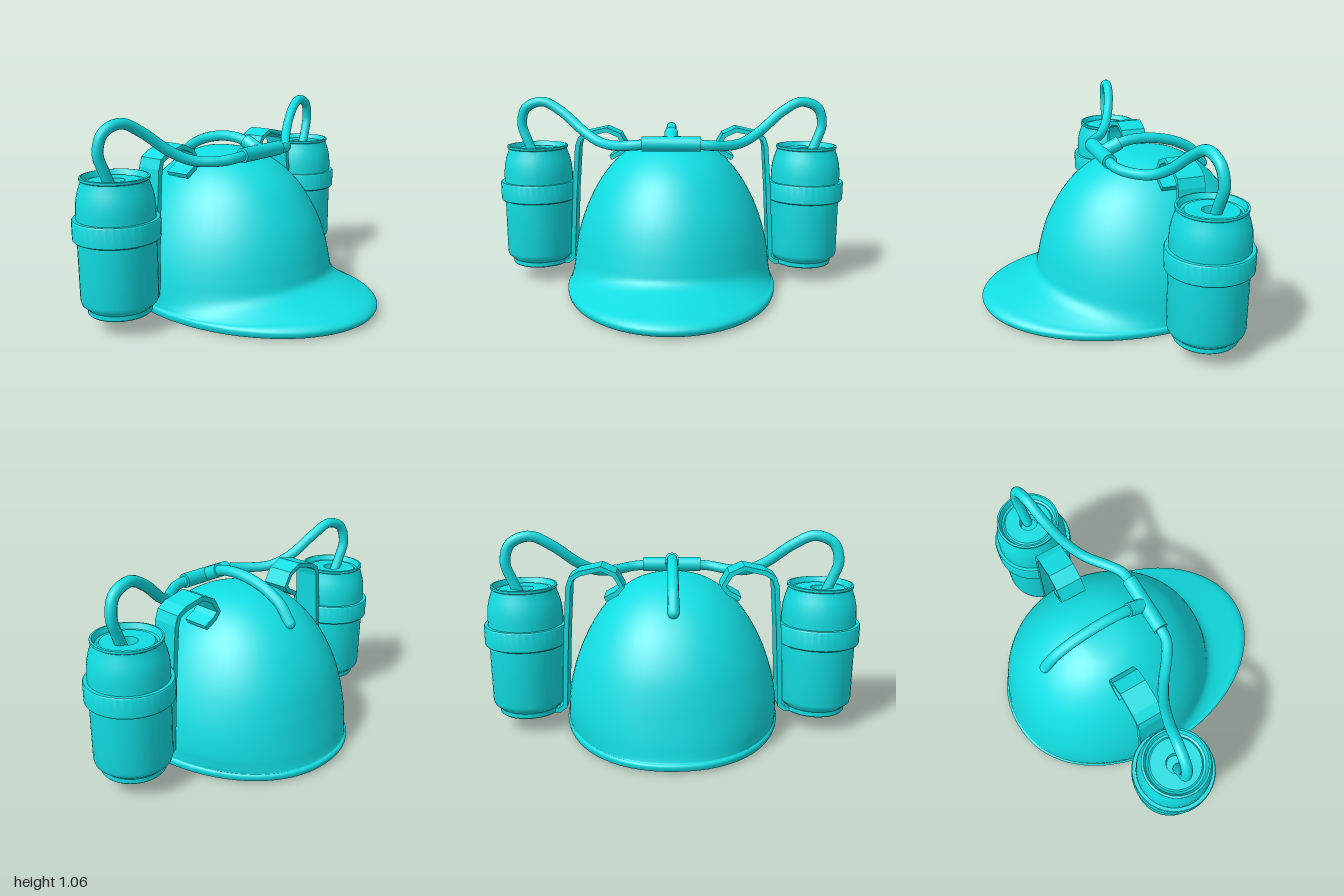
import * as THREE from 'three';
import { mergeVertices, toCreasedNormals } from 'three/addons/utils/BufferGeometryUtils.js';

const material = new THREE.MeshStandardMaterial({ color: 0x11dde2 });
const V = (x, y, z) => new THREE.Vector3(x, y, z);

function add(parent, name, geometry) {
  const mesh = new THREE.Mesh(geometry, material);
  mesh.name = name;
  parent.add(mesh);
  return mesh;
}

// Helmet rings: front y, front z, side y, half width, back y, back z, centre z
const level = ([y, w, zf, zb]) => [y, zf, y, w, y, zb, -0.16];
const dome = [
  [0.842, 0.1, -0.04, -0.29], [0.817, 0.19, 0.05, -0.36], [0.76, 0.28, 0.16, -0.46],
  [0.68, 0.36, 0.26, -0.55], [0.58, 0.43, 0.335, -0.625], [0.46, 0.49, 0.4, -0.685],
  [0.34, 0.532, 0.44, -0.72], [0.24, 0.555, 0.462, -0.742],
];
const brim = [
  [0.19, 0.475, 0.14, 0.567, 0.15, -0.76, -0.14],
  [0.163, 0.51, 0.1, 0.57, 0.1, -0.768, -0.11],
  [0.14, 0.58, 0.075, 0.574, 0.075, -0.773, -0.08],
  [0.11, 0.69, 0.06, 0.578, 0.062, -0.778, -0.05],
  [0.088, 0.76, 0.055, 0.585, 0.06, -0.785, -0.04],
  [0.06, 0.79, 0.045, 0.588, 0.05, -0.792, -0.04],
  [0.03, 0.775, 0.018, 0.58, 0.025, -0.785, -0.04],
  [0.025, 0.72, 0.02, 0.563, 0.03, -0.76, -0.05],
  [0.06, 0.6, 0.06, 0.555, 0.08, -0.745, -0.08],
  [0.13, 0.48, 0.13, 0.545, 0.14, -0.735, -0.13],
];
const inside = dome.slice(1).reverse()
  .map(([y, w, zf, zb]) => [y - 0.02, w - 0.025, zf - 0.025, zb + 0.025]);

function helmetGeometry() {
  const apex = (y) => [y, -0.16, y, 0, y, -0.16, -0.16];
  const rings = [apex(0.85), ...dome.map(level), ...brim, ...inside.map(level), apex(0.825)];
  const around = 72, down = 108, position = [], index = [];
  for (let i = 0; i < around; i++) {
    const a = (i / around) * Math.PI * 2, c = Math.cos(a), s = Math.sin(a);
    const curve = new THREE.CatmullRomCurve3(rings.map(([yf, zf, ys, w, yb, zb, zc]) => V(
      w * Math.sign(s) * Math.abs(s) ** (c < 0 ? 0.92 : 1),
      ys + c * c * ((c > 0 ? yf : yb) - ys),
      zc + c * (c > 0 ? zf - zc : zc - zb))));
    for (let j = 0; j <= down; j++) {
      position.push(...curve.getPoint(j / down).toArray());
      if (j === down) continue;
      const p = i * (down + 1) + j, q = ((i + 1) % around) * (down + 1) + j;
      if (j < down - 1) index.push(p, p + 1, q + 1);
      if (j > 0) index.push(p, q + 1, q);
    }
  }
  let geometry = new THREE.BufferGeometry();
  geometry.setAttribute('position', new THREE.Float32BufferAttribute(position, 3));
  geometry.setIndex(index);
  geometry = mergeVertices(geometry, 1e-5);
  geometry.computeVertexNormals();
  return geometry;
}

const lathe = (points) => toCreasedNormals(
  new THREE.LatheGeometry(points.map(([r, y]) => new THREE.Vector2(r, y)), 40), 0.6);

// Round tube with closed ends
function tube(parent, name, points, radius) {
  const curve = new THREE.CatmullRomCurve3(points);
  add(parent, name, new THREE.TubeGeometry(curve, 56, radius, 12));
  for (const end of [points[0], points.at(-1)])
    add(parent, name + 'End', new THREE.SphereGeometry(radius, 12, 8)).position.copy(end);
}

// Rod between two points
function rod(parent, name, a, b, radius) {
  const dir = b.clone().sub(a);
  const geometry = new THREE.CylinderGeometry(radius, radius, dir.length(), 20);
  const mesh = add(parent, name, toCreasedNormals(geometry, 0.6));
  mesh.position.copy(a).add(b).multiplyScalar(0.5);
  mesh.quaternion.setFromUnitVectors(V(0, 1, 0), dir.normalize());
}

// Flat strap following a path in x and y
function strapGeometry(path, thickness, width) {
  const points = path.map(([x, y]) => new THREE.Vector2(x, y));
  const side = (sign) => points.map((p, i) => {
    const d1 = p.clone().sub(points[Math.max(i - 1, 0)]).normalize();
    const d2 = points[Math.min(i + 1, points.length - 1)].clone().sub(p).normalize();
    const t = d1.add(d2).normalize();
    return new THREE.Vector2(p.x - t.y * sign * thickness / 2, p.y + t.x * sign * thickness / 2);
  });
  const shape = new THREE.Shape([...side(1), ...side(-1).reverse()]);
  return new THREE.ExtrudeGeometry(shape, { depth: width, bevelEnabled: false });
}

function addDrinkSide(parent, s) {
  const group = new THREE.Group();
  group.name = s > 0 ? 'leftDrink' : 'rightDrink';
  parent.add(group);

  // Can with recessed lid and drinking hole
  const can = add(group, 'can', lathe([
    [0, 0.125], [0.15, 0.125], [0.165, 0.135], [0.192, 0.16], [0.197, 0.18], [0.197, 0.64],
    [0.193, 0.69], [0.182, 0.735], [0.168, 0.775], [0.166, 0.785], [0.173, 0.79], [0.173, 0.802],
    [0.162, 0.804], [0.15, 0.775], [0.138, 0.77], [0.13, 0.78], [0.05, 0.78], [0.045, 0.735], [0, 0.735],
  ]));
  can.position.set(s * 0.78, 0, -0.19);
  // Band around the can
  const band = add(group, 'canBand', lathe([
    [0.19, 0.49], [0.215, 0.49], [0.219, 0.495], [0.219, 0.59], [0.215, 0.596], [0.19, 0.596],
  ]));
  band.position.copy(can.position);
  // Base plate under the can
  const base = add(group, 'canBase', lathe([
    [0, 0.105], [0.16, 0.105], [0.164, 0.11], [0.164, 0.138], [0, 0.138],
  ]));
  base.position.copy(can.position);

  // Bracket from the base plate up and hooked over the dome
  const path = [
    [0.78, 0.118], [0.61, 0.118], [0.582, 0.14], [0.574, 0.3], [0.56, 0.55], [0.54, 0.8],
    [0.525, 0.845], [0.48, 0.872], [0.37, 0.897], [0.3, 0.865], [0.262, 0.8], [0.29, 0.768], [0.35, 0.735],
  ].map(([x, y]) => [s * x, y]);
  add(group, 'bracket', strapGeometry(path, 0.026, 0.145)).position.z = -0.265;

  // Straw from the can to the connector
  tube(group, 'straw', [
    V(0.805, 0.745, -0.19), V(0.84, 0.83, -0.195), V(0.868, 0.92, -0.2), V(0.84, 1.015, -0.19),
    V(0.74, 1.053, -0.175), V(0.63, 1.0, -0.15), V(0.5, 0.895, -0.095), V(0.4, 0.84, -0.03),
    V(0.3, 0.83, 0.05), V(0.22, 0.838, 0.095), V(0.13, 0.845, 0.1),
  ].map((p) => p.setX(s * p.x)), 0.028);
}

export function createModel() {
  const model = new THREE.Group();
  model.name = 'drinkingHelmet';
  add(model, 'helmetShell', helmetGeometry());
  for (const s of [1, -1]) addDrinkSide(model, s);

  // Connector joining both straws, with a stem and a hose over the crown
  rod(model, 'strawConnector', V(-0.16, 0.847, 0.1), V(0.16, 0.847, 0.1), 0.04);
  rod(model, 'connectorStem', V(0, 0.85, 0.09), V(0, 0.895, -0.005), 0.038);
  tube(model, 'crownHose', [
    V(0, 0.87, 0.05), V(0, 0.9, -0.03), V(0, 0.91, -0.12), V(0, 0.9, -0.23),
    V(0, 0.87, -0.34), V(0, 0.815, -0.44), V(0, 0.73, -0.51),
  ], 0.029);
  return model;
}
